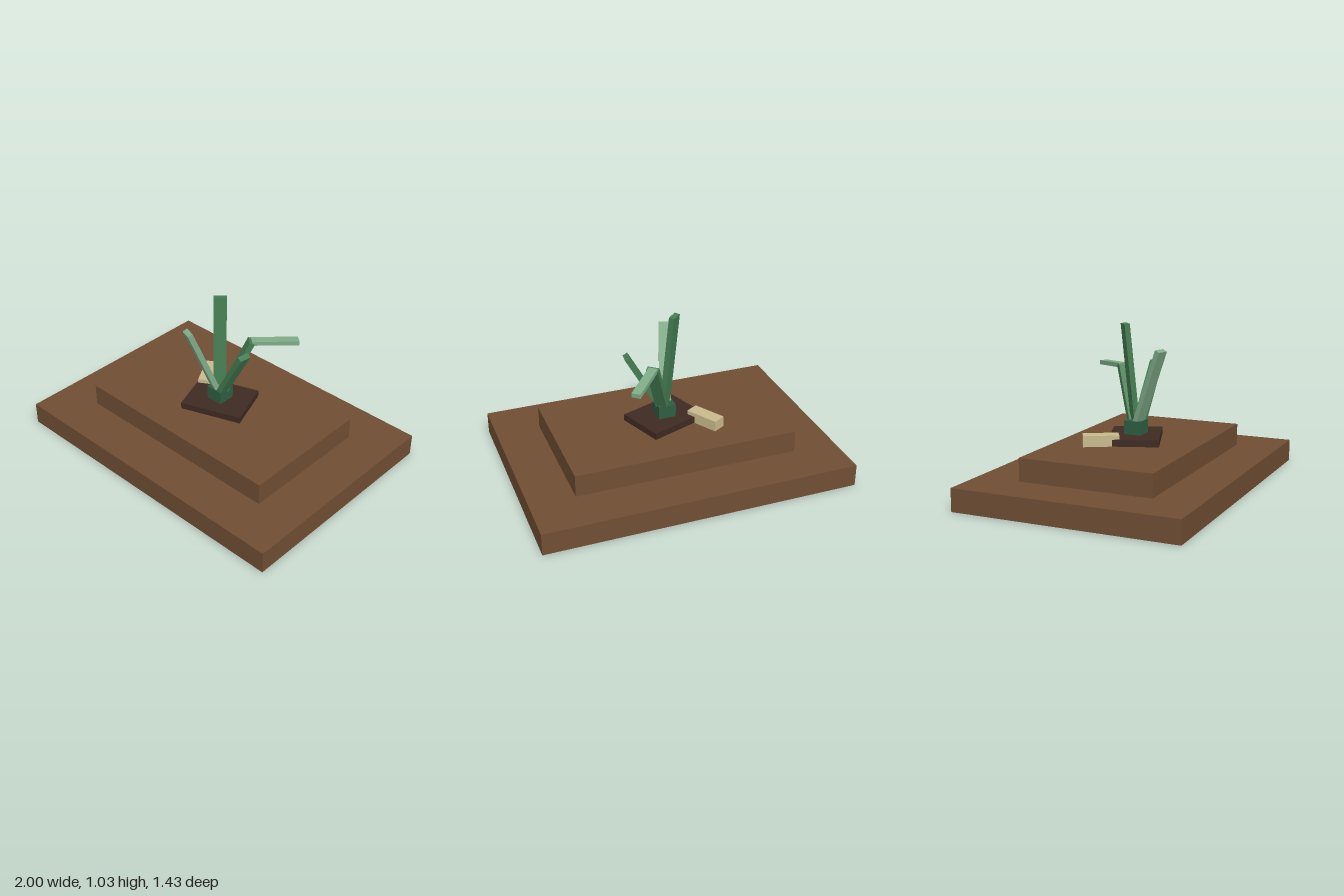
import * as THREE from 'three';

export function createModel() {
  const model = new THREE.Group();
  model.name = 'terracedPlant';

  const mat = (name, color) => {
    const m = new THREE.MeshStandardMaterial({ color });
    m.name = name;
    return m;
  };
  const earth = mat('earthBrown', 0x6f4e33);
  const soil = mat('darkSoil', 0x3e2a22);
  const sand = mat('paleSand', 0xc8ba8d);
  const darkGreen = mat('darkGreen', 0x2f5d41);
  const midGreen = mat('midGreen', 0x457d52);
  const lightGreen = mat('lightGreen', 0x7fab88);

  // Block resting at height y, optionally turned about the vertical
  function block(name, material, [w, h, d], [x, y, z], turn = 0) {
    const mesh = new THREE.Mesh(new THREE.BoxGeometry(w, h, d), material);
    mesh.name = name;
    mesh.position.set(x, y + h / 2, z);
    mesh.rotation.y = THREE.MathUtils.degToRad(turn);
    model.add(mesh);
  }

  // Flat bar from one point to another, its broad side kept horizontal
  function blade(name, material, from, to, width, thickness) {
    const a = new THREE.Vector3(...from);
    const b = new THREE.Vector3(...to);
    const along = b.clone().sub(a);
    const length = along.length();
    along.normalize();
    const across = new THREE.Vector3(along.z, 0, -along.x).normalize();
    const normal = across.clone().cross(along);
    const mesh = new THREE.Mesh(new THREE.BoxGeometry(width, length, thickness), material);
    mesh.name = name;
    mesh.position.copy(a).add(b).multiplyScalar(0.5);
    mesh.quaternion.setFromRotationMatrix(new THREE.Matrix4().makeBasis(across, along, normal));
    model.add(mesh);
  }

  // Stepped ground
  block('lowerTerrace', earth, [2, 0.143, 1.43], [0, 0, 0]);
  block('upperTerrace', earth, [1.43, 0.143, 0.857], [0, 0.143, 0]);

  // Soil patch and pale stone
  block('soilPatch', soil, [0.4, 0.043, 0.314], [0, 0.286, 0], 20);
  block('stone', sand, [0.086, 0.069, 0.222], [-0.228, 0.286, -0.133], 30);

  // Plant
  block('stem', darkGreen, [0.114, 0.129, 0.114], [0, 0.286, 0]);
  blade('tallLeaf', midGreen, [0, 0.36, 0], [-0.047, 1.025, -0.051], 0.08, 0.034);
  blade('sideLeaf', midGreen, [0.015, 0.37, 0.01], [0.234, 0.758, 0.038], 0.076, 0.034);
  blade('frontLeaf', lightGreen, [-0.01, 0.37, 0.01], [-0.077, 0.872, 0.202], 0.074, 0.034);
  blade('backLeaf', midGreen, [0.012, 0.37, -0.012], [0.128, 0.74, -0.145], 0.076, 0.034);
  blade('droopingLeafTip', lightGreen, [0.125, 0.736, -0.147], [0.314, 0.715, -0.376], 0.057, 0.028);

  return model;
}
